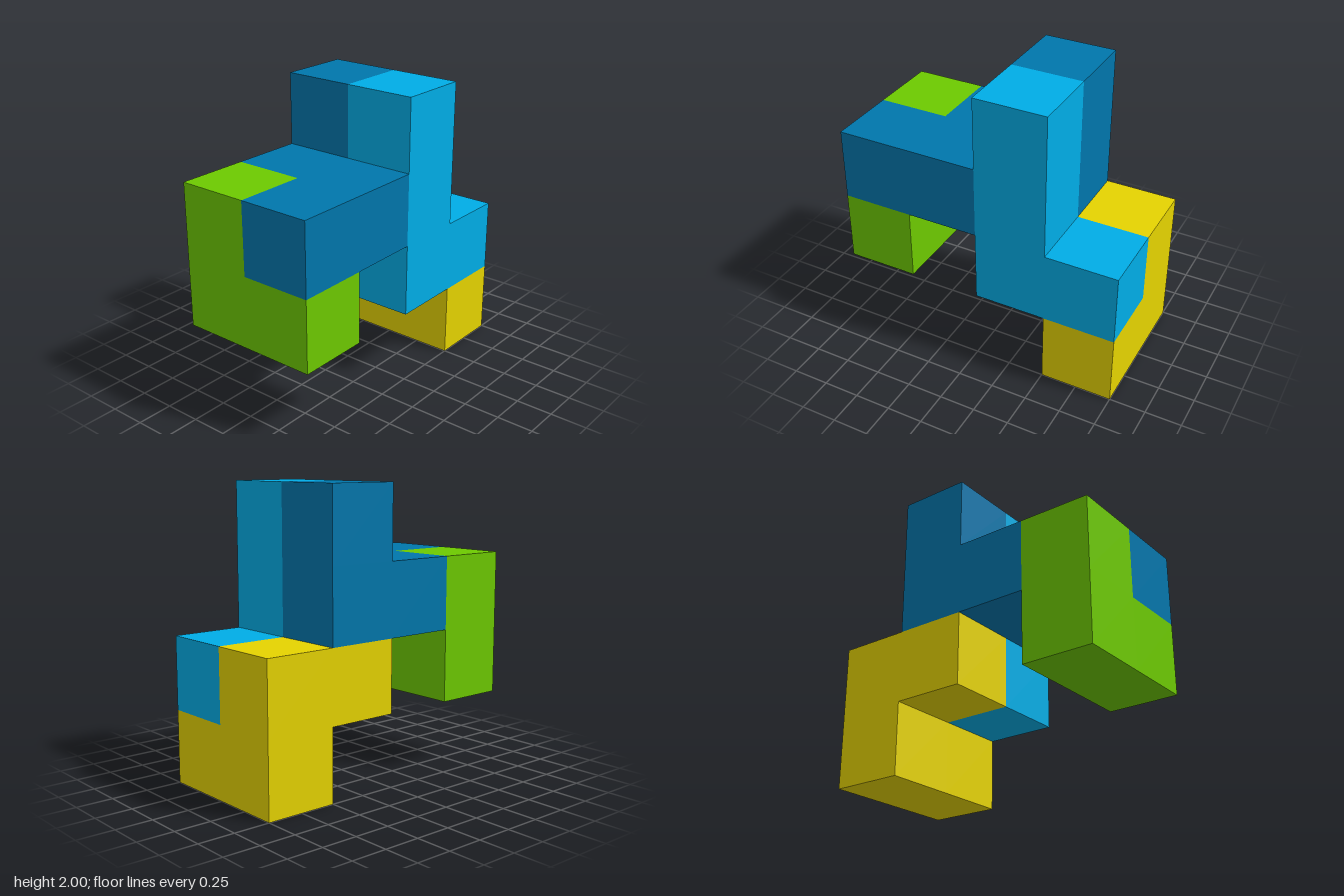
import * as THREE from 'three';
import { mergeGeometries } from 'three/addons/utils/BufferGeometryUtils.js';

const UNIT = 0.5;

// Each piece is a chain of unit cubes: [column, row, layer], layer 0 at the back
const PIECES = [
  { name: 'lightBluePiece', color: 0x00ade6, cells: [[2, 3, 1], [2, 2, 1], [2, 1, 1], [3, 1, 1]] },
  { name: 'darkBluePiece', color: 0x0076ab, cells: [[0, 2, 1], [1, 2, 1], [1, 2, 0], [2, 2, 0], [2, 3, 0]] },
  { name: 'greenPiece', color: 0x6dc900, cells: [[0, 1, 1], [0, 1, 0], [0, 2, 0]] },
  { name: 'yellowPiece', color: 0xe5d300, cells: [[3, 0, 1], [3, 0, 0], [3, 1, 0], [2, 1, 0]] },
];

const DIRECTIONS = [[1, 0, 0], [-1, 0, 0], [0, 1, 0], [0, -1, 0], [0, 0, 1], [0, 0, -1]];

// One square face of a cube, turned outwards along dir
function cubeFace([i, j, k], dir) {
  const normal = new THREE.Vector3(...dir);
  const turn = new THREE.Quaternion().setFromUnitVectors(new THREE.Vector3(0, 0, 1), normal);
  const centre = new THREE.Vector3((i - 1.5) * UNIT, (j + 0.5) * UNIT, (k - 0.5) * UNIT);
  return new THREE.PlaneGeometry(UNIT, UNIT)
    .applyQuaternion(turn)
    .translate(...centre.addScaledVector(normal, UNIT / 2).toArray());
}

export function createModel() {
  const model = new THREE.Group();
  model.name = 'interlockingBlocks';
  const filled = new Set(PIECES.flatMap((p) => p.cells.map((c) => c.join())));

  for (const { name, color, cells } of PIECES) {
    // Keep only the faces that do not touch a neighbouring cube
    const faces = cells.flatMap((cell) => DIRECTIONS
      .filter((d) => !filled.has(cell.map((v, n) => v + d[n]).join()))
      .map((d) => cubeFace(cell, d)));
    const material = new THREE.MeshStandardMaterial({ color });
    material.name = name.replace('Piece', '');
    const mesh = new THREE.Mesh(mergeGeometries(faces), material);
    mesh.name = name;
    model.add(mesh);
  }
  return model;
}
